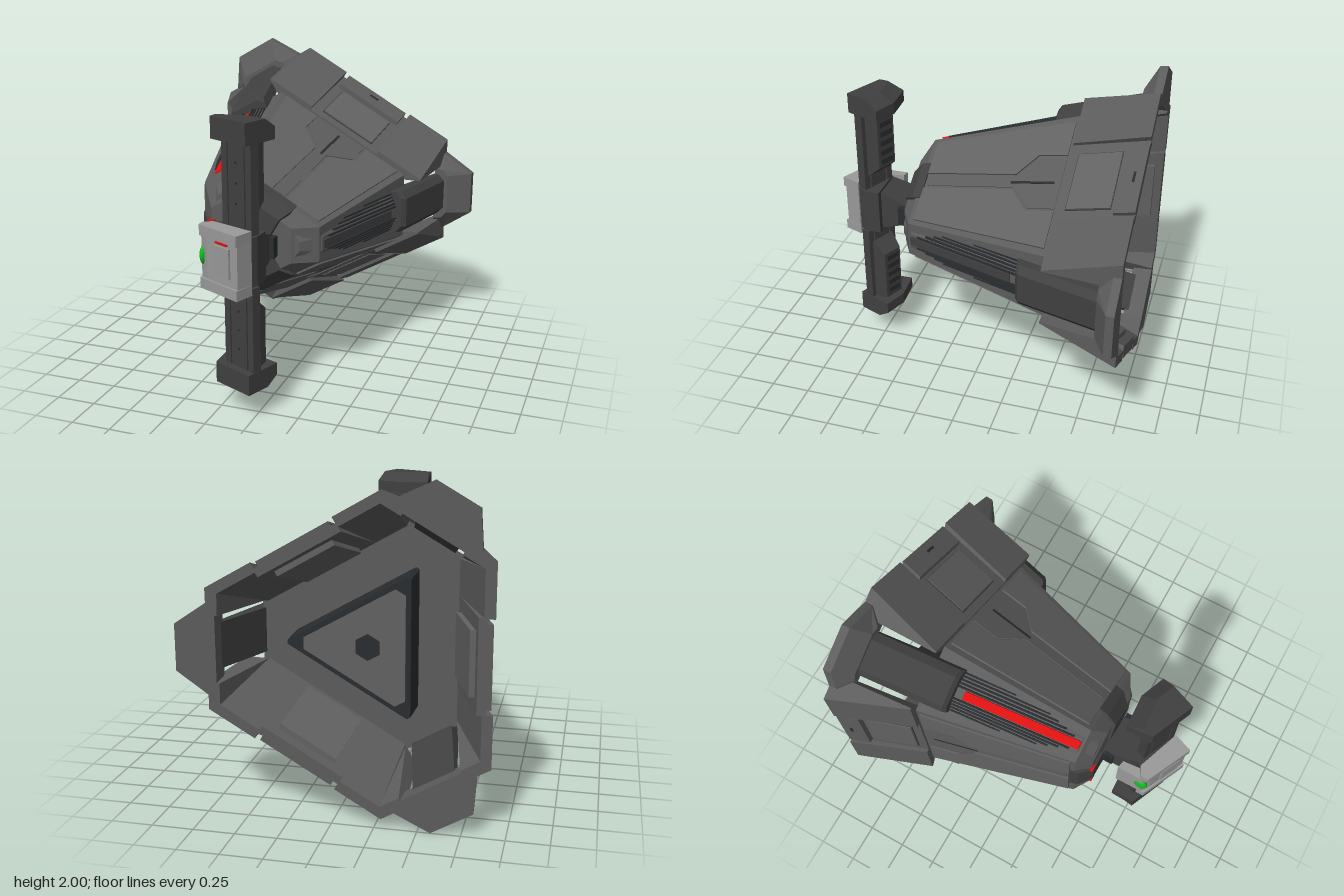
import * as THREE from 'three';

const mat = color => new THREE.MeshStandardMaterial({ color, flatShading: true });
const HULL = mat(0x5c5c5c), PLATE = mat(0x626262), DARK = mat(0x404040), BLACK = mat(0x2a2d30);
const LIGHT = mat(0x9a9a9a), RED = mat(0xdd1111);
const GREEN = new THREE.MeshStandardMaterial({ color: 0x11bb22 });

function add(parent, name, geo, material, x = 0, y = 0, z = 0) {
  const m = new THREE.Mesh(geo, material);
  m.name = name;
  m.position.set(x, y, z);
  parent.add(m);
  return m;
}
const box = (w, h, d) => new THREE.BoxGeometry(w, h, d);

// Skin between equal-length closed sections, capped at both ends
function loft(sections, flat = sections[0]) {
  const pos = [];
  const tri = (a, b, c) => pos.push(...a, ...b, ...c);
  const n = flat.length, last = sections[sections.length - 1];
  for (let i = 0; i + 1 < sections.length; i++) {
    const A = sections[i], B = sections[i + 1];
    for (let j = 0; j < n; j++) {
      const k = (j + 1) % n;
      tri(A[j], A[k], B[k]);
      tri(A[j], B[k], B[j]);
    }
  }
  const faces = THREE.ShapeUtils.triangulateShape(flat.map(p => new THREE.Vector2(p[0], p[1])), []);
  for (const [a, b, c] of faces) {
    tri(last[a], last[b], last[c]);
    tri(sections[0][c], sections[0][b], sections[0][a]);
  }
  const g = new THREE.BufferGeometry();
  g.setAttribute('position', new THREE.Float32BufferAttribute(pos, 3));
  g.computeVertexNormals();
  return g;
}
const at = (z, pts) => pts.map(([x, y]) => [x, y, z]);
// Mirror a half outline (y > 0, listed outer to inner) into a closed counter-clockwise one
const sym = (z, half) => at(z, [...half.map(([x, y]) => [x, -y]).reverse(), ...half]);
const flip = pts => pts.map(([x, y, z]) => [x, -y, z]).reverse();
const rect = (z, x0, x1, y) => sym(z, [[x1, y], [x0, y]]);

// Ring repeating half-corner (a, b) around three corners
function ring(z, a, b) {
  const pts = [];
  for (let k = 0; k < 3; k++) {
    const c = Math.cos(k * Math.PI * 2 / 3), s = Math.sin(k * Math.PI * 2 / 3);
    for (const t of [-b, b]) pts.push([a * c - t * s, a * s + t * c, z]);
  }
  return pts;
}
const sideN = z => 0.31 + (0.43 - z) * 0.2337;      // height of a hull side
const cornerR = z => 0.571 - z * 0.314;             // height of a corner ridge

// Raised plate lying on a hull side; outline in (along, z)
function sidePlate(pts, raise) {
  const lift = r => pts.map(([t, z]) => [sideN(z) + r, t, z]);
  return loft([lift(-0.01), lift(raise)], pts);
}

// Corner: ribbed ridge, rail and tail fin
function corner(k) {
  const g = new THREE.Group();
  g.name = 'corner';
  const ridge = (z, r, w) => sym(z, [[r, w * 0.36], [r - 0.04, w], [r - 0.1, w]]);
  add(g, 'cornerRidge', loft([ridge(-0.38, cornerR(-0.38), 0.15), ridge(0.41, cornerR(0.41), 0.12), ridge(0.5, 0.33, 0.08)]), HULL);
  for (let i = 0; i < 5; i++) for (const s of [-1, 1]) {
    const y = s * (0.04 + i * 0.02), z1 = 0.36 - i * 0.06, drop = i * 0.0085;
    const bar = z => at(z, [[cornerR(z) - drop - 0.03, y - 0.005], [cornerR(z) - drop + 0.014, y - 0.005],
      [cornerR(z) - drop + 0.014, y + 0.005], [cornerR(z) - drop - 0.03, y + 0.005]]);
    add(g, 'ridgeRib', loft([bar(-0.36), bar(z1)]), BLACK);
  }
  const strip = z => rect(z, cornerR(z) - 0.02, cornerR(z) + 0.014, 0.027);
  add(g, 'ridgeStripe', loft([strip(-0.3), strip(0.41)]), k ? RED : DARK);
  const rail = (z, r, t) => sym(z, [[r, 0.095], [r - 0.04, 0.138], [r - t, 0.138]]);
  add(g, 'rail', loft([rail(-0.9, 0.905, 0.075), rail(-0.52, 0.802, 0.12), rail(-0.37, 0.76, 0.15), rail(-0.35, 0.73, 0.12)]), DARK);
  const fin = (z, r, w1, w2) => sym(z, [[r, w1], [0.885, w2], [0.83, w2 + 0.01]]);
  add(g, 'tailFin', loft([fin(-1, 1.074, 0.14, 0.27), fin(-0.95, 1.07, 0.14, 0.265), fin(-0.87, 0.92, 0.13, 0.17)]), HULL);
  return g;
}

// Side: rear armour, hull plating and nose block
function side(k) {
  const g = new THREE.Group();
  g.name = 'side';
  const rear = at(-1, [[0.69, 0.27], [0.752, 0.27], [0.752, 0.585], [0.61, 0.665], [0.58, 0.605], [0.69, 0.54]]);
  const front = at(-0.52, [[0.49, 0.27], [0.568, 0.27], [0.568, 0.61], [0.56, 0.614], [0.5, 0.5], [0.49, 0.49]]);
  add(g, 'rearBlock', loft([rear, front]), HULL);
  add(g, 'rearBlock', loft([flip(rear), flip(front)]), HULL);
  add(g, 'rearPanel', loft([rect(-1, 0.66, 0.712, 0.275), rect(-0.52, 0.49, 0.545, 0.275)]), HULL);
  const skin = z => 0.545 + (-0.52 - z) * 0.348;
  const layer = (name, z0, z1, w, h, m) =>
    add(g, name, loft([rect(z0, skin(z0) - 0.02, skin(z0) + h, w), rect(z1, skin(z1) - 0.02, skin(z1) + h, w)]), m);
  layer('hatchFrame', -0.85, -0.57, 0.2, 0.006, DARK);
  layer('hatch', -0.845, -0.575, 0.193, 0.012, PLATE);
  layer('rearBand', -1, -0.87, 0.24, 0.03, HULL);
  layer('rearVent', -0.955, -0.94, 0.035, 0.033, BLACK);
  // Inner lining of the open rear bay
  add(g, 'bayPanel', loft([rect(-0.95, 0.61, 0.66, 0.19), rect(-0.58, 0.48, 0.53, 0.19)]), PLATE);

  // Stepped plates on each half with a channel between
  const half = [[0.2, -0.5], [0.45, -0.5], [0.29, 0.4], [0.055, 0.4], [0.055, -0.2], [0.2, -0.32]];
  add(g, 'hullPlate', sidePlate(half, 0.012), PLATE);
  add(g, 'hullPlate', sidePlate(half.map(([t, z]) => [-t, z]).reverse(), 0.012), PLATE);
  add(g, 'centrePlate', sidePlate([[-0.18, -0.5], [0.18, -0.5], [0.18, -0.33], [0.035, -0.2], [0.035, 0.38],
    [-0.035, 0.38], [-0.035, -0.2], [-0.18, -0.33]], 0.006), HULL);
  add(g, 'centreSlot', sidePlate([[-0.008, -0.46], [0.008, -0.46], [0.008, -0.18], [-0.008, -0.18]], 0.009), BLACK);

  add(g, 'noseBlock', loft([rect(0.4, 0.2, 0.33, 0.13), rect(0.46, 0.18, 0.31, 0.13), rect(0.525, 0.1, 0.24, 0.1)]), DARK);
  if (k === 1) for (const s of [-1, 1])
    add(g, 'noseMarker', box(0.05, 0.01, 0.02), RED, 0.235, s * 0.108, 0.515);
  return g;
}

// Upright prism from an (x, z) outline
function prism(pts, y0, y1) {
  const g = new THREE.ExtrudeGeometry(new THREE.Shape(pts.map(([x, z]) => new THREE.Vector2(x, -z))),
    { depth: y1 - y0, bevelEnabled: false });
  return g.rotateX(-Math.PI / 2).translate(0, y0, 0);
}

// Turned mast on the nose
function mast() {
  const g = new THREE.Group();
  g.name = 'mast';
  const outline = [[-0.26, 0.63], [-0.06, 0.62], [0.09, 0.68], [0, 0.905], [-0.26, 0.79]];
  // Top of each end, sloping down toward its rear edge
  const top = [[-0.25, 0.73], [-0.06, 0.71], [0.06, 0.755], [0, 0.905], [-0.26, 0.79]];
  add(g, 'mastCore', prism([[-0.22, 0.72], [0.04, 0.72], [0.03, 0.82], [0, 0.88], [-0.26, 0.77]], 0.85, 1.15), DARK);
  for (const s of [-1, 1]) {
    const span = (o, a, b) => prism(o, 1 + Math.min(s * a, s * b), 1 + Math.max(s * a, s * b));
    const level = (o, h) => o.map(([x, z]) => [x, 1 + s * h, z]);
    const layers = [level(outline, 0.69), level(outline, 0.765), level(top, 0.82)];
    if (s < 0) layers.reverse();
    const order = layers.map(l => l.slice().reverse());
    add(g, 'mastEnd', loft(order, order[0].map(([x, , z]) => [x, -z])), DARK);
    const arm = new THREE.Group();
    arm.name = 'mastArm';
    arm.position.set(-0.085, 1 + s * 0.43, 0.785);
    arm.rotation.y = -0.42;
    add(arm, 'armCore', box(0.13, 0.54, 0.06), DARK);
    for (const t of [-1, 1]) add(arm, 'armRail', box(0.045, 0.54, 0.06), DARK, t * 0.098, 0, 0);
    // Pack behind the arm, sloped at the end near the head
    const slab = (z, w, near, far) => {
      const lo = s > 0 ? near : -far, hi = s > 0 ? far : -near;
      return [[-w, lo, z], [w, lo, z], [w, hi, z], [-w, hi, z]];
    };
    add(arm, 'armPack', loft([slab(-0.12, 0.07, -0.1, 0.25), slab(-0.03, 0.09, -0.18, 0.27)]), DARK);
    for (let i = 0; i < 5; i++) add(arm, 'armRib', box(0.1, 0.035, 0.012), BLACK, 0, s * (-0.06 + i * 0.065), -0.12);
    for (let i = 0; i < 3; i++) add(arm, 'armStud', box(0.012, 0.012, 0.01), BLACK, 0, s * (-0.1 + i * 0.12), 0.031);
    g.add(arm);
    add(g, 'headFlange', span([[-0.32, 0.8], [-0.26, 0.77], [0.015, 0.87], [-0.03, 0.99], [-0.28, 0.87], [-0.32, 0.85]], 0.13, 0.195), LIGHT);
  }
  add(g, 'headShell', prism([[-0.32, 0.65], [-0.27, 0.66], [-0.26, 0.77], [0.015, 0.87], [-0.03, 0.975], [-0.27, 0.86], [-0.32, 0.82]], 0.87, 1.13), LIGHT);
  add(g, 'headPanel', box(0.13, 0.18, 0.015), LIGHT, -0.145, 1.01, 0.925).rotation.y = -0.45;
  add(g, 'headMarker', box(0.1, 0.012, 0.012), RED, -0.15, 1.118, 0.922).rotation.y = -0.45;
  add(g, 'lens', new THREE.SphereGeometry(0.06, 20, 14), GREEN, -0.308, 1, 0.81).scale.set(0.4, 1, 0.75);

  // Neck joining mast and nose
  const neck = (z, w, h) => rect(z, -0.12 - w, -0.12 + w, h).map(([x, y]) => [x, 1 + y, z]);
  add(g, 'neck', loft([neck(0.48, 0.12, 0.05), neck(0.6, 0.13, 0.09), neck(0.77, 0.11, 0.15)]), DARK);
  add(g, 'neckCollar', box(0.31, 0.13, 0.06), BLACK, -0.115, 1, 0.56);
  return g;
}

export function createModel() {
  const model = new THREE.Group();
  model.name = 'model';
  const body = new THREE.Group();
  body.name = 'body';
  body.position.set(-0.16, 1, 0);
  model.add(body);

  add(body, 'hull', loft([ring(-0.52, 0.7, 0.21), ring(0.43, 0.43, 0.11), ring(0.51, 0.28, 0.11)]), HULL);
  for (let k = 0; k < 3; k++) {
    const c = corner(k), s = side(k);
    c.rotation.z = k * Math.PI * 2 / 3;
    s.rotation.z = (k * 2 + 1) * Math.PI / 3;
    body.add(c, s);
  }
  // Triangular engine block in the rear bay
  add(body, 'engineBlock', loft([ring(-0.75, 0.48, 0.012), ring(-0.5, 0.49, 0.012)]), BLACK);
  add(body, 'enginePlate', loft([ring(-0.76, 0.38, 0.035), ring(-0.74, 0.38, 0.035)]), PLATE);
  add(body, 'enginePort', new THREE.CylinderGeometry(0.08, 0.08, 0.02, 6).rotateX(Math.PI / 2), BLACK, 0, 0, -0.755);

  model.add(mast());
  return model;
}
